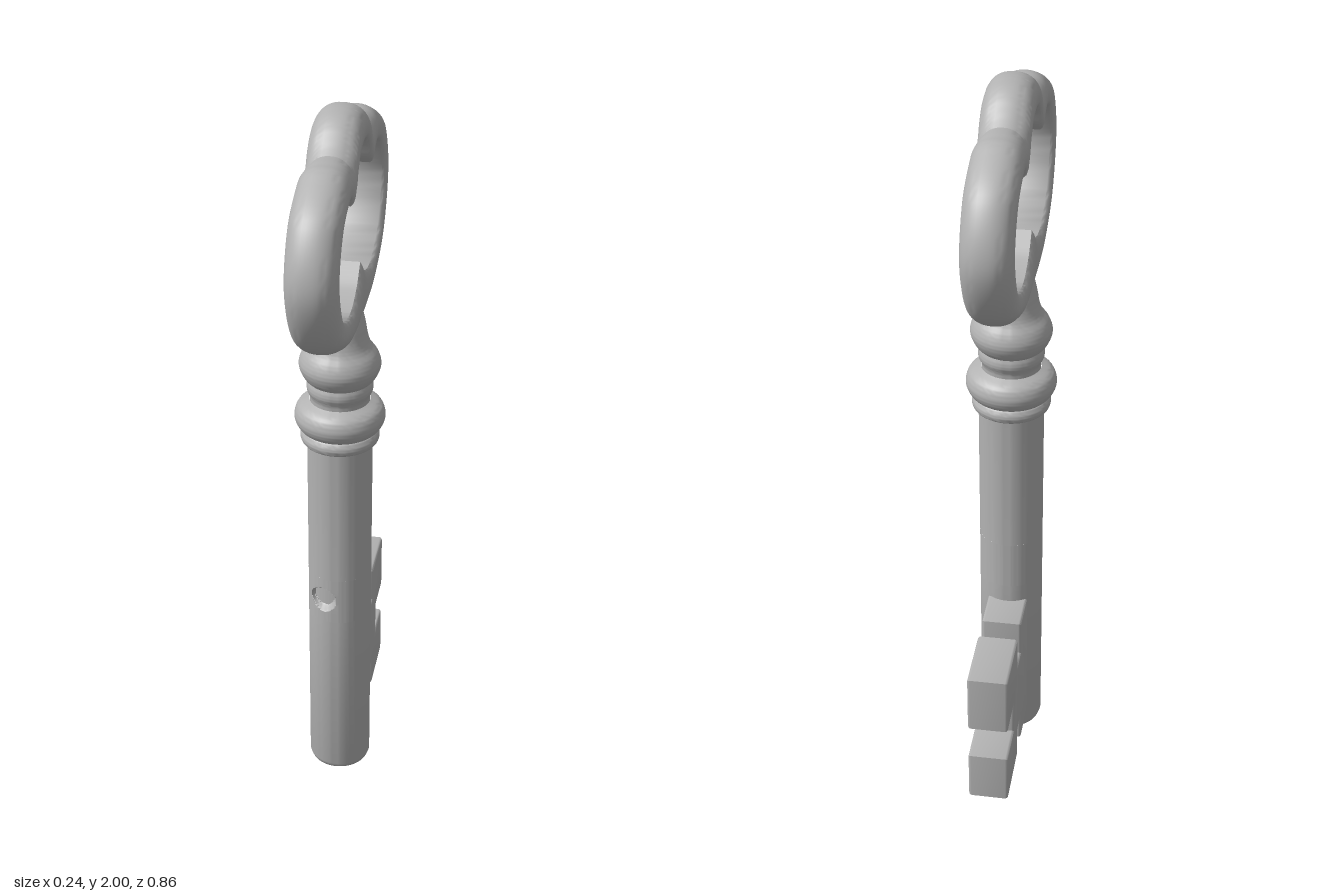
import * as THREE from 'three';
import { toCreasedNormals } from 'three/addons/utils/BufferGeometryUtils.js';

const SHAFT_R = 0.087;
const vec = ([a, b]) => new THREE.Vector2(a, b);

// Sample a smooth curve through a few points
const sample = (pts, n) => new THREE.SplineCurve(pts.map(vec)).getPoints(n);

// Mirror a half outline (bottom to top) into a closed loop
function mirrorLoop(half) {
  const back = half.slice(1, -1).reverse().map((p) => new THREE.Vector2(-p.x, p.y));
  return [...half, ...back];
}

// Ring-shaped handle lofted between an inner and an outer outline in the z/y plane
function bowGeometry() {
  const sections = [
    {
      n: 64,
      inner: [[0, 1.6], [0.06, 1.55], [0.16, 1.53], [0.285, 1.58], [0.345, 1.7], [0.3, 1.8], [0.215, 1.838], [0.17, 1.833], [0.143, 1.807]],
      outer: [[0, 1.385], [0.08, 1.405], [0.2, 1.443], [0.355, 1.53], [0.43, 1.69], [0.375, 1.845], [0.25, 1.92], [0.19, 1.928], [0.135, 1.925]],
    },
    {
      n: 24,
      inner: [[0.143, 1.807], [0.115, 1.835], [0.1, 1.865], [0.06, 1.9], [0, 1.913]],
      outer: [[0.135, 1.925], [0.112, 1.943], [0.085, 1.972], [0.045, 1.994], [0, 2]],
    },
  ];
  const outline = (key) => mirrorLoop(sections.flatMap((s, i) => sample(s[key], s.n).slice(i ? 1 : 0)));
  const inner = outline('inner');
  const outer = outline('outer');

  // Cross-section: flat inner wall, rounded outside; s runs from inner to outer
  const side = [[0, 0.051], [0.05, 0.057], [0.18, 0.062]];
  for (let i = 0; i < 10; i++) {
    const a = (i / 10) * Math.PI / 2;
    side.push([0.4 + 0.6 * Math.sin(a), 0.063 * Math.cos(a) ** 0.9]);
  }
  const profile = [...side, [1, 0], ...side.slice().reverse().map(([s, x]) => [s, -x])];

  const pos = [];
  const index = [];
  const m = profile.length;
  const n = inner.length;
  for (let i = 0; i < n; i++) {
    for (let j = 0; j < m; j++) {
      const [s, x] = profile[j];
      const p = inner[i].clone().lerp(outer[i], s);
      pos.push(x, p.y, p.x);
      const i2 = (i + 1) % n;
      const j2 = (j + 1) % m;
      const a = i * m + j, b = i2 * m + j, c = i2 * m + j2, d = i * m + j2;
      index.push(a, b, d, b, c, d);
    }
  }
  const g = new THREE.BufferGeometry();
  g.setAttribute('position', new THREE.Float32BufferAttribute(pos, 3));
  g.setIndex(index);
  return toCreasedNormals(g, 0.65);
}

// Short length of shaft with a small round dimple in its front
function dimpledGeometry(y0, y1) {
  const g = new THREE.CylinderGeometry(SHAFT_R, SHAFT_R, y1 - y0, 128, 36, true);
  g.translate(0, (y0 + y1) / 2, 0);
  const p = g.attributes.position;
  for (let i = 0; i < p.count; i++) {
    if (p.getZ(i) < 0) continue;
    const d = Math.hypot(p.getX(i) + 0.033, p.getY(i) - 0.61);
    const t = THREE.MathUtils.clamp((0.037 - d) / 0.007, 0, 1);
    p.setZ(i, p.getZ(i) - 0.022 * t);
  }
  return toCreasedNormals(g, 0.6);
}

// Notched plate, drawn with -z as its horizontal axis
function bitGeometry() {
  const outline = [
    [0.04, 0.07], [0.185, 0.07], [0.185, 0.16], [0.25, 0.16], [0.25, 0.07], [0.433, 0.07],
    [0.433, 0.217], [0.318, 0.217], [0.318, 0.318], [0.433, 0.318], [0.433, 0.488],
    [0.25, 0.488], [0.25, 0.387], [0.185, 0.387], [0.185, 0.488], [0.04, 0.488],
  ];
  const half = 0.055;
  const bevel = 0.008;
  const g = new THREE.ExtrudeGeometry(new THREE.Shape(outline.map(vec)), {
    depth: 2 * (half - bevel), bevelEnabled: true, bevelSize: bevel,
    bevelThickness: bevel, bevelOffset: -bevel, bevelSegments: 3,
  });
  g.translate(0, 0, -(half - bevel));
  g.rotateY(Math.PI / 2);
  return toCreasedNormals(g, 0.6);
}

export function createModel() {
  const metal = new THREE.MeshStandardMaterial({ color: 0xb2b2b2 });
  metal.name = 'grey metal';
  const group = new THREE.Group();
  group.name = 'key';
  const add = (name, geometry) => {
    const mesh = new THREE.Mesh(geometry, metal);
    mesh.name = name;
    group.add(mesh);
  };
  const lathe = (pts) => toCreasedNormals(new THREE.LatheGeometry(pts, 64), 0.7);

  // Shaft with a rounded foot
  const foot = [[0, 0], [0.06, 0], [0.073, 0.004], [0.082, 0.012], [SHAFT_R, 0.026], [SHAFT_R, 0.54]];
  add('lowerShaft', lathe(foot.map(vec)));
  add('dimpledShaft', dimpledGeometry(0.54, 0.68));
  add('upperShaft', lathe([[SHAFT_R, 0.68], [SHAFT_R, 1.1]].map(vec)));

  // Turned rings, from the shaft up
  add('smallRing', lathe(sample([[0.084, 1.08], [0.1, 1.088], [0.105, 1.103], [0.1, 1.118], [0.09, 1.126]], 16)));
  add('collar', lathe(sample([[0.085, 1.118], [0.107, 1.13], [0.12, 1.16], [0.11, 1.192], [0.08, 1.21]], 24)));
  add('middleRing', lathe(sample([[0.078, 1.2], [0.079, 1.222], [0.086, 1.238], [0.087, 1.255], [0.08, 1.275]], 16)));
  add('neck', lathe(sample([
    [0.078, 1.262], [0.095, 1.28], [0.107, 1.312], [0.099, 1.342], [0.081, 1.368], [0.072, 1.395], [0.066, 1.43], [0.055, 1.48],
  ], 42)));

  add('bow', bowGeometry());
  add('bit', bitGeometry());
  return group;
}
